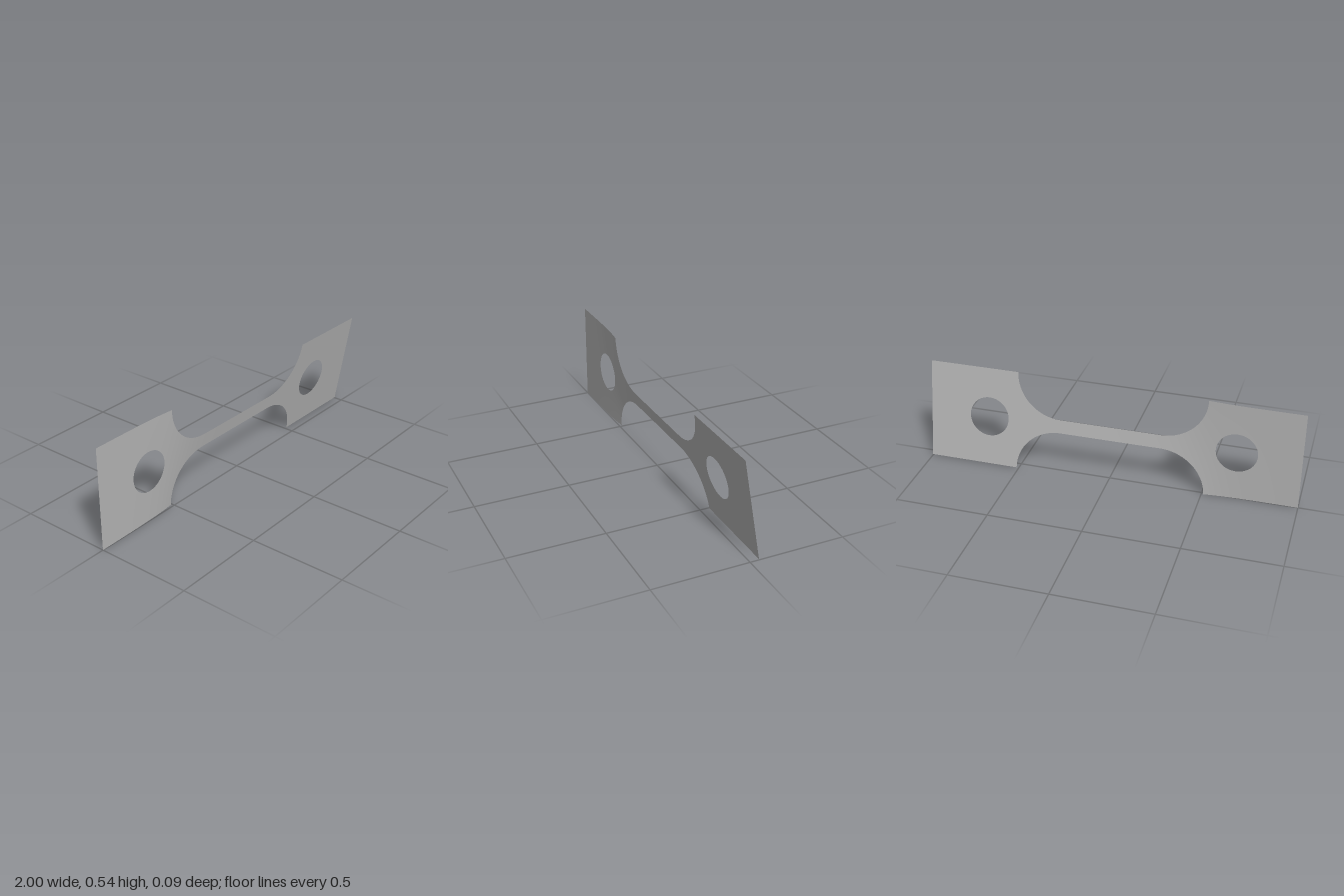
import * as THREE from 'three';

const TAB_H = 0.271, NECK_H = 0.037, TAB_X = 0.51, FILLET = 0.24;
const HOLE_X = 0.668, HOLE_R = 0.108, TWIST = 0.172;

// Twist angle about the long axis, and its slope along x
const sig = (x) => 1 / (1 + Math.exp(-(x + 0.44) / 0.09));
const angle = (x) => TWIST * sig(x);
const slope = (x) => (TWIST * sig(x) * (1 - sig(x))) / 0.09;

// Half height of the outline, and of the round hole, at |x|
function outer(ax) {
  if (ax >= TAB_X) return TAB_H;
  const d = ax - (TAB_X - FILLET);
  if (d <= 0) return NECK_H;
  const k = 1 - Math.sqrt(Math.max(0, 1 - (d / FILLET) ** 2));
  return NECK_H + (TAB_H - NECK_H) * k;
}
function inner(ax) {
  return Math.sqrt(Math.max(0, HOLE_R ** 2 - (ax - HOLE_X) ** 2));
}

// x stations from a to b, crowded at both ends so that arcs stay round
function stations(a, b, n) {
  return Array.from({ length: n + 1 }, (_, i) => a + ((b - a) * (1 - Math.cos((Math.PI * i) / n))) / 2);
}

// Sheet above and below the midline over the given stations
function sheet(xs, rows = 12) {
  const pos = [], nor = [], idx = [];
  for (const side of [1, -1]) {
    const base = pos.length / 3;
    for (const x of xs) {
      const lo = inner(Math.abs(x)), hi = outer(Math.abs(x)), a = angle(x);
      for (let j = 0; j <= rows; j++) {
        const v = side * (lo + ((hi - lo) * j) / rows);
        pos.push(x, TAB_H + v * Math.cos(a), v * Math.sin(a));
        const n = new THREE.Vector3(-v * slope(x), -Math.sin(a), Math.cos(a)).normalize();
        nor.push(n.x, n.y, n.z);
      }
    }
    for (let i = 0; i < xs.length - 1; i++) {
      for (let j = 0; j < rows; j++) {
        const p = base + i * (rows + 1) + j, q = p + rows + 1;
        if (side > 0) idx.push(p, q, q + 1, p, q + 1, p + 1);
        else idx.push(p, q + 1, q, p, p + 1, q + 1);
      }
    }
  }
  const g = new THREE.BufferGeometry();
  g.setAttribute('position', new THREE.Float32BufferAttribute(pos, 3));
  g.setAttribute('normal', new THREE.Float32BufferAttribute(nor, 3));
  g.setIndex(idx);
  return g;
}

export function createModel() {
  const group = new THREE.Group();
  group.name = 'twistedTestStrip';
  const metal = new THREE.MeshStandardMaterial({ color: 0xb4b4b4, side: THREE.DoubleSide });
  metal.name = 'grey metal';

  const add = (name, xs) => {
    const m = new THREE.Mesh(sheet(xs), metal);
    m.name = name;
    group.add(m);
  };

  // Grip tabs with a hole, and curved shoulders leading to the neck
  for (const [s, label] of [[1, 'left'], [-1, 'right']]) {
    const order = (xs) => (s > 0 ? xs : xs.map((x) => -x).reverse());
    const tab = [
      ...stations(TAB_X, HOLE_X - HOLE_R, 4),
      ...stations(HOLE_X - HOLE_R, HOLE_X + HOLE_R, 36).slice(1),
      ...stations(HOLE_X + HOLE_R, 1, 10).slice(1),
    ];
    add(label + 'Tab', order(tab));
    add(label + 'Shoulder', order(stations(TAB_X - FILLET, TAB_X, 32)));
  }

  // Narrow neck
  add('neck', stations(FILLET - TAB_X, TAB_X - FILLET, 24));
  return group;
}
